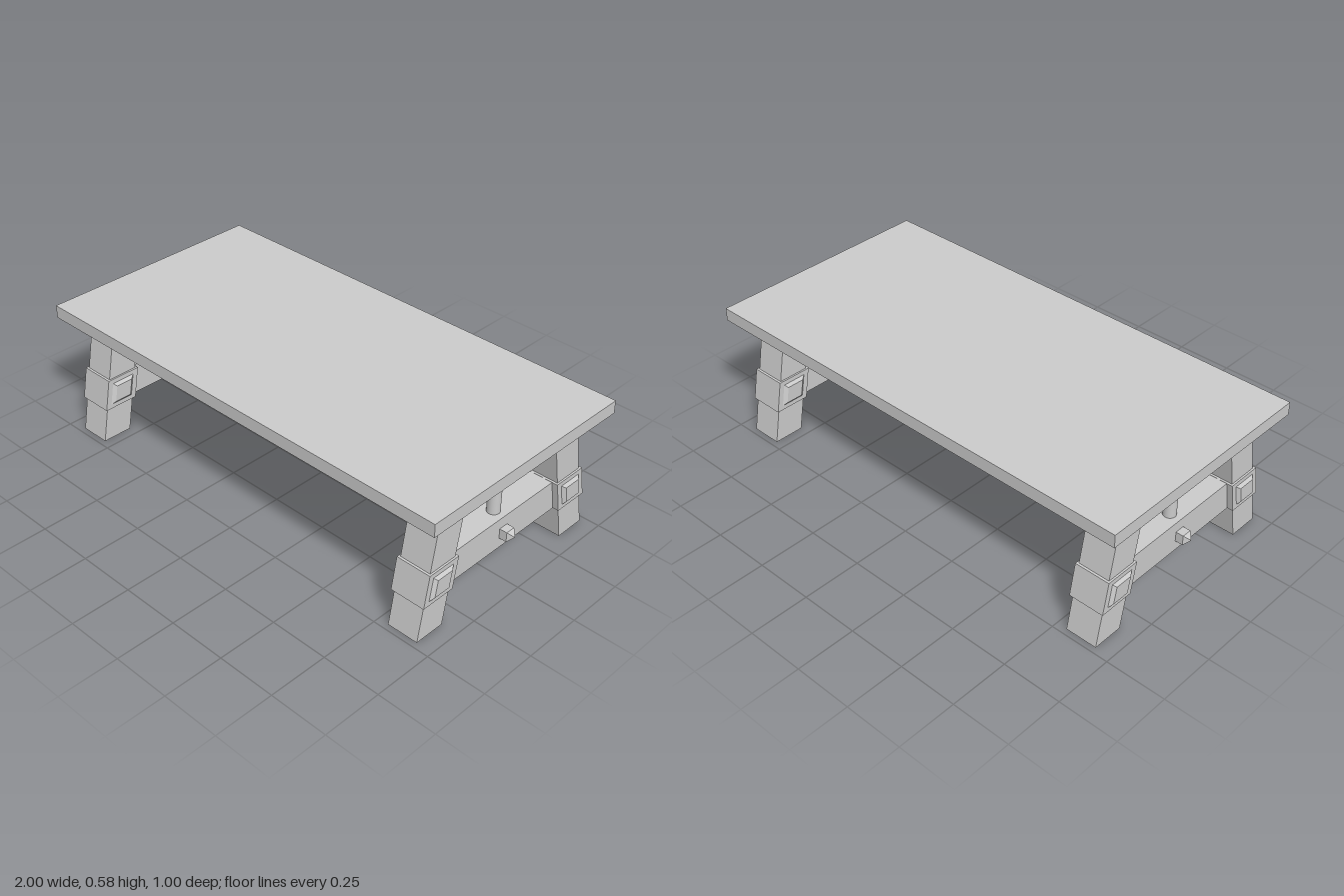
import * as THREE from 'three';

const material = new THREE.MeshStandardMaterial({ color: 0xcccccc, flatShading: true });
const smooth = new THREE.MeshStandardMaterial({ color: 0xcccccc });
const LEG_X = 0.862;   // centre of each trestle
const LEG_Z = 0.409;   // leg centre at floor level
const LEAN = 0.188;    // inward lean of the legs per unit of height
const TOP_Y = 0.522;   // underside of the tabletop
const BEAM_Y = 0.213;

function add(parent, name, geometry, x = 0, y = 0, z = 0, mat = material) {
  const mesh = new THREE.Mesh(geometry, mat);
  mesh.name = name;
  mesh.position.set(x, y, z);
  parent.add(mesh);
  return mesh;
}

// Moves every vertex of a geometry by a rule
function reshape(geometry, rule) {
  const p = geometry.attributes.position;
  const v = new THREE.Vector3();
  for (let i = 0; i < p.count; i++) {
    rule(v.fromBufferAttribute(p, i));
    p.setXYZ(i, v.x, v.y, v.z);
  }
  geometry.computeVertexNormals();
  return geometry;
}

// Leans a geometry so that it follows the leg on the given side
const lean = (geometry, side) => reshape(geometry, (v) => { v.z -= side * LEAN * v.y; });

// Raised panel with bevelled edges, facing +x or -x
function bevelPanel(facing) {
  return reshape(new THREE.BoxGeometry(0.016, 0.106, 0.118), (v) => {
    if (v.x * facing > 0) { v.y *= 0.66; v.z *= 0.64; }
  });
}

function makeLeg(side) {
  const leg = new THREE.Group();
  leg.name = side > 0 ? 'frontLeg' : 'backLeg';
  const zAt = (y) => side * (LEG_Z - LEAN * y);
  add(leg, 'legPost', lean(new THREE.BoxGeometry(0.134, TOP_Y, 0.132), side), 0, TOP_Y / 2, zAt(TOP_Y / 2));
  add(leg, 'legCollar', lean(new THREE.BoxGeometry(0.15, 0.133, 0.152), side), 0, BEAM_Y, zAt(BEAM_Y));
  for (const facing of [1, -1]) {
    add(leg, 'collarPanel', lean(bevelPanel(facing), side), facing * 0.078, BEAM_Y, zAt(BEAM_Y));
  }
  return leg;
}

function makeTrestle(end) {
  const trestle = new THREE.Group();
  trestle.name = end > 0 ? 'leftTrestle' : 'rightTrestle';
  trestle.position.x = end * LEG_X;
  trestle.add(makeLeg(1), makeLeg(-1));

  // Cross beam and the round post that carries the tabletop
  add(trestle, 'crossBeam', new THREE.BoxGeometry(0.1, 0.131, 0.7), 0, BEAM_Y, 0);
  add(trestle, 'supportPost', new THREE.CylinderGeometry(0.026, 0.026, 0.26, 24), 0, 0.393, 0, smooth);

  // Square peg with a pyramid point on the outer face
  add(trestle, 'pegShank', new THREE.BoxGeometry(0.04, 0.042, 0.042), end * 0.062, BEAM_Y, 0);
  const point = new THREE.ConeGeometry(0.021 * Math.SQRT2, 0.022, 4);
  point.rotateY(Math.PI / 4);
  point.rotateZ(-end * Math.PI / 2);
  add(trestle, 'pegPoint', point, end * 0.093, BEAM_Y, 0);
  return trestle;
}

export function createModel() {
  const model = new THREE.Group();
  model.name = 'trestleTable';
  add(model, 'tabletop', new THREE.BoxGeometry(2, 0.055, 1), 0, TOP_Y + 0.0275, 0);
  model.add(makeTrestle(1), makeTrestle(-1));

  // Long round stretcher between the two cross beams
  const rod = new THREE.CylinderGeometry(0.028, 0.028, 1.64, 24);
  rod.rotateZ(Math.PI / 2);
  add(model, 'stretcherRod', rod, 0, 0.215, 0, smooth);
  return model;
}
